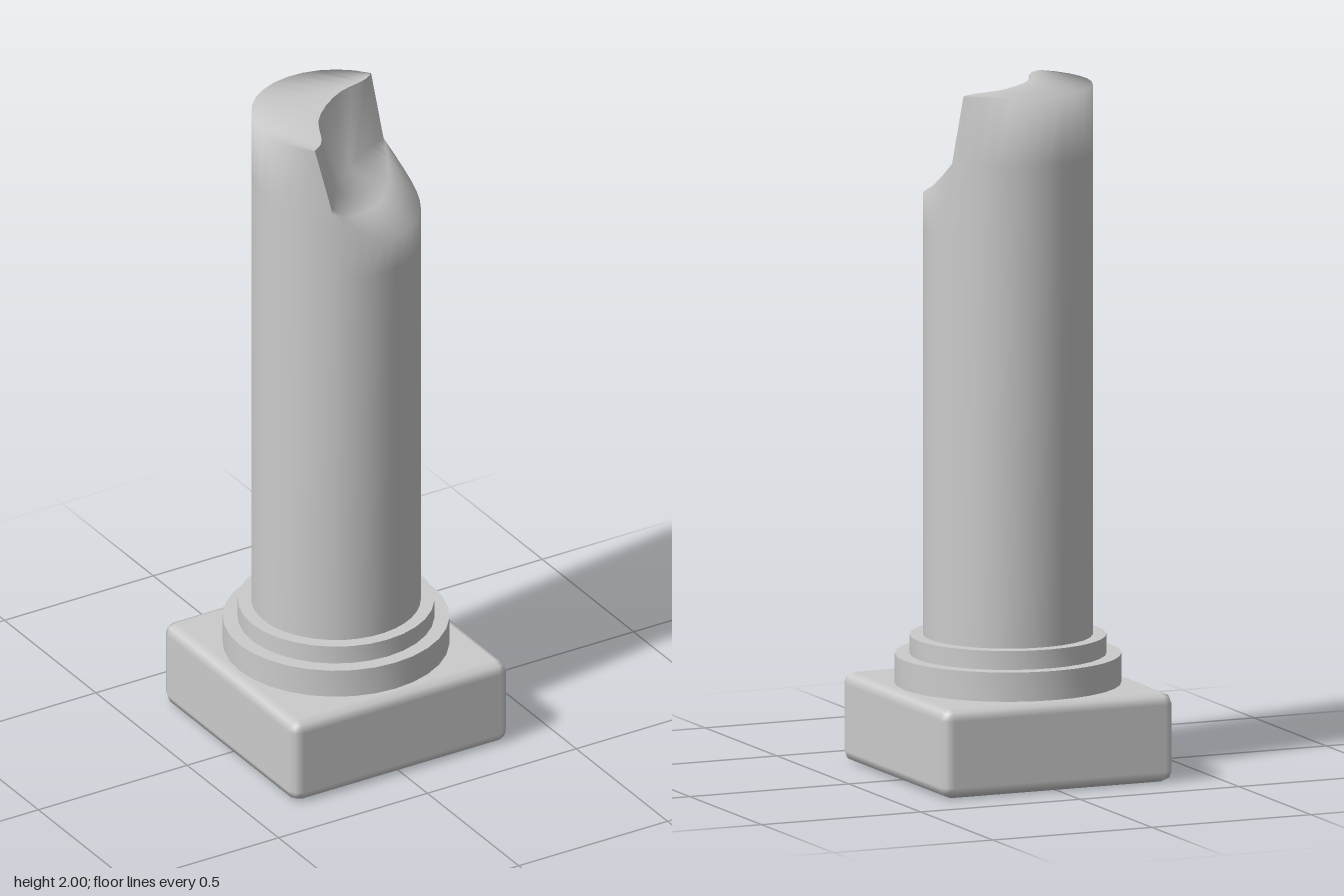
import * as THREE from 'three';
import { RoundedBoxGeometry } from 'three/addons/geometries/RoundedBoxGeometry.js';
import { toCreasedNormals } from 'three/addons/utils/BufferGeometryUtils.js';

const RADIUS = 0.243;
const N = 17; // points along each half of the broken rim

const curve = (points) => new THREE.CatmullRomCurve3(
  points.map((p) => new THREE.Vector3(...p)), false, 'centripetal').getPoints(N - 1);

const arc = (from, to, height) => Array.from({ length: N }, (_, i) => {
  const f = i / (N - 1);
  const a = THREE.MathUtils.degToRad(THREE.MathUtils.lerp(from, to, f));
  return new THREE.Vector3(RADIUS * Math.cos(a), height(f), RADIUS * Math.sin(a));
});

const atHeight = (row, y) => row.map((p) => new THREE.Vector3(p.x, y, p.z));

// Round shaft whose top is broken away towards +x +z
function brokenShaft() {
  const positions = [];
  const indices = [];
  const addRow = (row) => row.map((p) => positions.push(p.x, p.y, p.z) / 3 - 1);
  const join = (low, high, closed = false) => {
    const n = low.length;
    for (let i = 0; i < (closed ? n : n - 1); i++) {
      const j = (i + 1) % n;
      indices.push(low[i], high[i], low[j], high[i], high[j], low[j]);
    }
  };

  // Rim: full height round the back, low round the front
  const back = arc(136, 326, () => 2);
  const front = arc(335.5, 484, (f) => 1.68 + 0.12 * Math.abs(2 * f - 1) ** 3);

  // Edge of the standing top, and foot of the fracture wall
  const ridge = curve([back[0].toArray(), [-0.135, 2, 0.14], [-0.065, 2, 0.012],
    [0.06, 2, -0.085], [0.17, 2, -0.115], back[N - 1].toArray()]);
  const foot = curve([front[0].toArray(), [0.09, 1.79, -0.04], [0.01, 1.785, 0.02],
    [-0.06, 1.79, 0.09], front[N - 1].toArray()]);
  // Slightly bulging floor between foot and rim
  const floor = foot.map((p, i) => {
    const q = p.clone().lerp(front[i], 0.55);
    q.y += 0.015 * Math.sin(Math.PI * i / (N - 1));
    return q;
  });

  const bottom = addRow(atHeight([...back, ...front], 0.38));
  const neck = addRow([...atHeight(back, 1.8), ...atHeight(front, 1.58)]);
  const rim = addRow([...back, ...front]);
  join(bottom, neck, true);
  join(neck, rim, true);

  const backRim = rim.slice(0, N);
  const frontRim = rim.slice(N);
  join(backRim, addRow(ridge)); // standing top
  const floorRow = addRow(floor);
  const footRow = addRow(foot);
  join(frontRim, floorRow);
  join(floorRow, footRow);
  join(footRow, addRow([...ridge].reverse())); // fracture wall, sharp at the ridge

  const g = new THREE.BufferGeometry();
  g.setAttribute('position', new THREE.Float32BufferAttribute(positions, 3));
  g.setIndex(indices);
  g.computeVertexNormals();
  return g;
}

export function createModel() {
  const group = new THREE.Group();
  const material = new THREE.MeshStandardMaterial({ color: 0xcccccc });
  const add = (name, geometry, y = 0) => {
    const mesh = new THREE.Mesh(geometry, material);
    mesh.name = name;
    mesh.position.y = y;
    group.add(mesh);
  };

  add('plinth', new RoundedBoxGeometry(0.727, 0.26, 0.727, 1, 0.033), 0.13);

  // Two stepped rings under the shaft
  const profile = [[0.325, 0.25], [0.325, 0.345], [0.282, 0.345], [0.282, 0.4], [0.23, 0.4]]
    .map(([x, y]) => new THREE.Vector2(x, y));
  add('baseRings', toCreasedNormals(new THREE.LatheGeometry(profile, 32), 0.6));

  add('brokenShaft', brokenShaft());
  return group;
}
